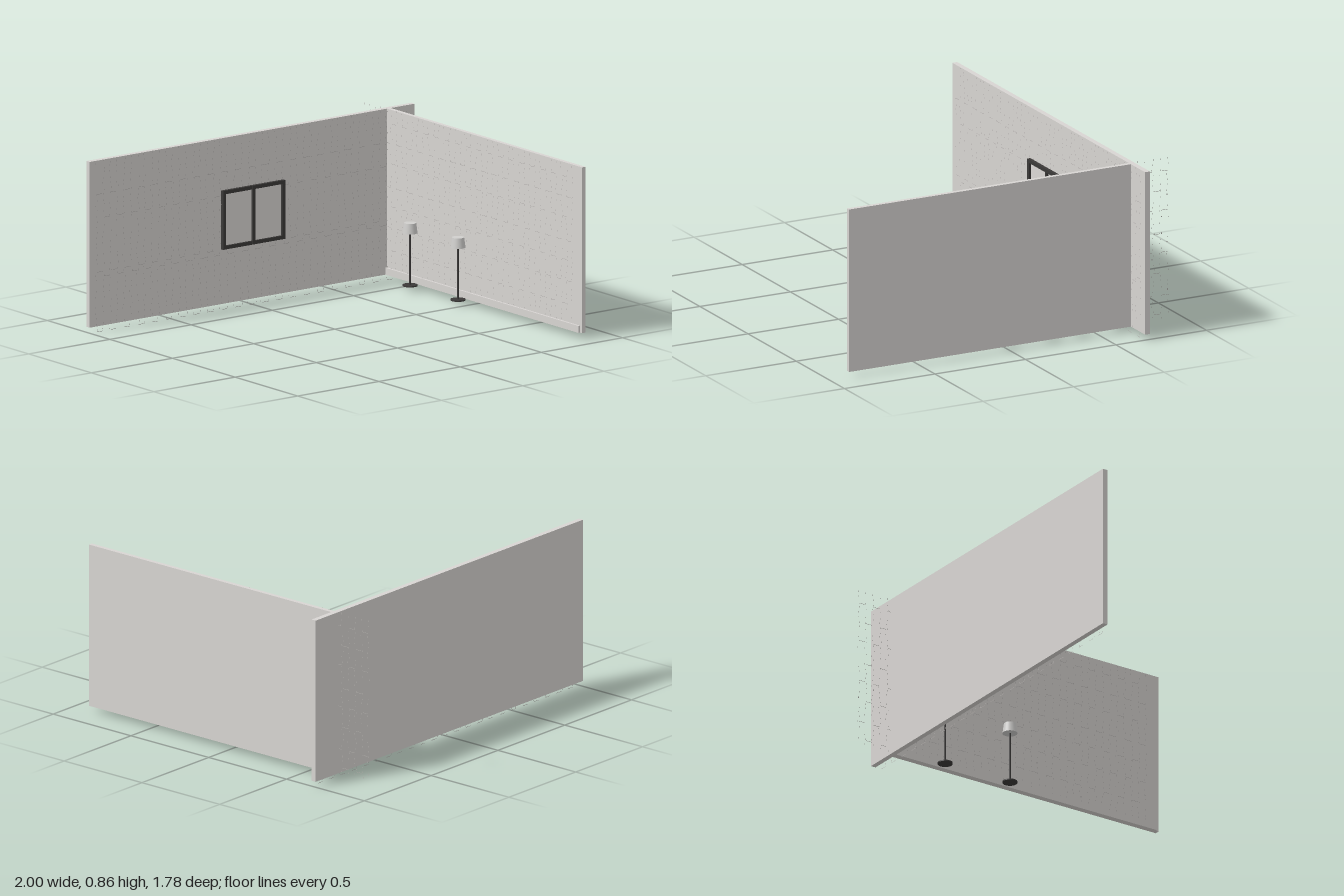
import * as THREE from 'three';
import { mergeGeometries } from 'three/addons/utils/BufferGeometryUtils.js';

const mat = (name, color) => Object.assign(new THREE.MeshStandardMaterial({ color }), { name });

export function createModel() {
  const model = new THREE.Group();
  model.name = 'roomCorner';
  const plaster = mat('warm grey plaster', 0xd8d5d2);
  const pane = mat('pale pane', 0xdbd8d5);
  const dark = mat('dark metal', 0x3b3938);
  const shadeGrey = mat('lamp shade grey', 0xd0cfcd);
  const fleck = mat('brick fleck grey', 0xb4b1ae);
  fleck.side = THREE.DoubleSide;

  let seed = 7;
  const rnd = () => (seed = (seed * 16807) % 2147483647) / 2147483647;

  // box given by its limits on each axis
  const box = (name, material, x0, x1, y0, y1, z0, z1, parent = model) => {
    const m = new THREE.Mesh(new THREE.BoxGeometry(x1 - x0, y1 - y0, z1 - z0), material);
    m.position.set((x0 + x1) / 2, (y0 + y1) / 2, (z0 + z1) / 2);
    m.name = name;
    parent.add(m);
  };

  // walls and skirting
  box('backWall', plaster, -1, 1, 0.028, 0.859, -0.688, -0.661);
  box('sideWall', plaster, 0.831, 0.853, 0.028, 0.859, -0.661, 0.896);
  box('sideSkirting', plaster, 0.82, 0.831, 0.028, 0.063, -0.661, 0.88);

  // sheet of small flecks: upright joints in columns, flat joints in a few courses
  const flecks = (name, from, to, y0, courses) => {
    const parts = [];
    const add = (x, y, w, h) => parts.push(new THREE.PlaneGeometry(w, h).translate(x, y, 0));
    const step = 0.0425;
    const count = Math.round((to - from) / step);
    for (let i = 0; i <= count; i++) {
      const x = from + i * step;
      for (let y = y0 + 0.012; y < 0.855; y += 0.027) {
        if (rnd() < 0.85) add(x + (rnd() - 0.5) * 0.016, y + (rnd() - 0.5) * 0.012, 0.003, 0.004 + rnd() * 0.005);
      }
      courses.forEach((y, k) => {
        if (i < count && (i + k) % 2 === 0) add(x + step / 2, y, 0.036, 0.002);
      });
    }
    const m = new THREE.Mesh(mergeGeometries(parts), fleck);
    m.name = name;
    model.add(m);
    return m;
  };
  flecks('backBrickFlecks', -0.96, 0.96, 0, [0.001, 0.275, 0.3, 0.57, 0.69]).position.z = -0.659;
  const side = flecks('sideBrickFlecks', -0.82, 0.885, 0.03, [0.06, 0.155, 0.27, 0.375, 0.47, 0.59, 0.69, 0.79]);
  side.rotation.y = Math.PI / 2;
  side.position.x = 0.828;

  // window with two panes
  const win = new THREE.Group();
  win.name = 'window';
  model.add(win);
  const [l, r, b, t, f] = [-0.191, 0.191, 0.303, 0.598, 0.018];
  box('windowPane', pane, l + 0.005, r - 0.005, b + 0.005, t - 0.005, -0.661, -0.655, win);
  for (const x of [l, -f / 2, r - f]) box('windowUpright', dark, x, x + f, b, t, -0.661, -0.644, win);
  for (const y of [b, t - f]) box('windowRail', dark, l, r, y, y + f, -0.661, -0.6445, win);

  // two floor lamps
  const cyl = (name, material, rt, rb, y0, y1, parent) => {
    const m = new THREE.Mesh(new THREE.CylinderGeometry(rt, rb, y1 - y0, 28), material);
    m.position.y = (y0 + y1) / 2;
    m.name = name;
    parent.add(m);
  };
  for (const z of [-0.404, -0.021]) {
    const lamp = new THREE.Group();
    lamp.name = 'floorLamp';
    lamp.position.set(0.774, 0, z);
    cyl('lampBase', dark, 0.037, 0.037, 0.028, 0.034, lamp);
    cyl('lampPole', dark, 0.005, 0.005, 0.034, 0.3, lamp);
    cyl('lampShade', shadeGrey, 0.03, 0.037, 0.293, 0.344, lamp);
    model.add(lamp);
  }
  return model;
}
